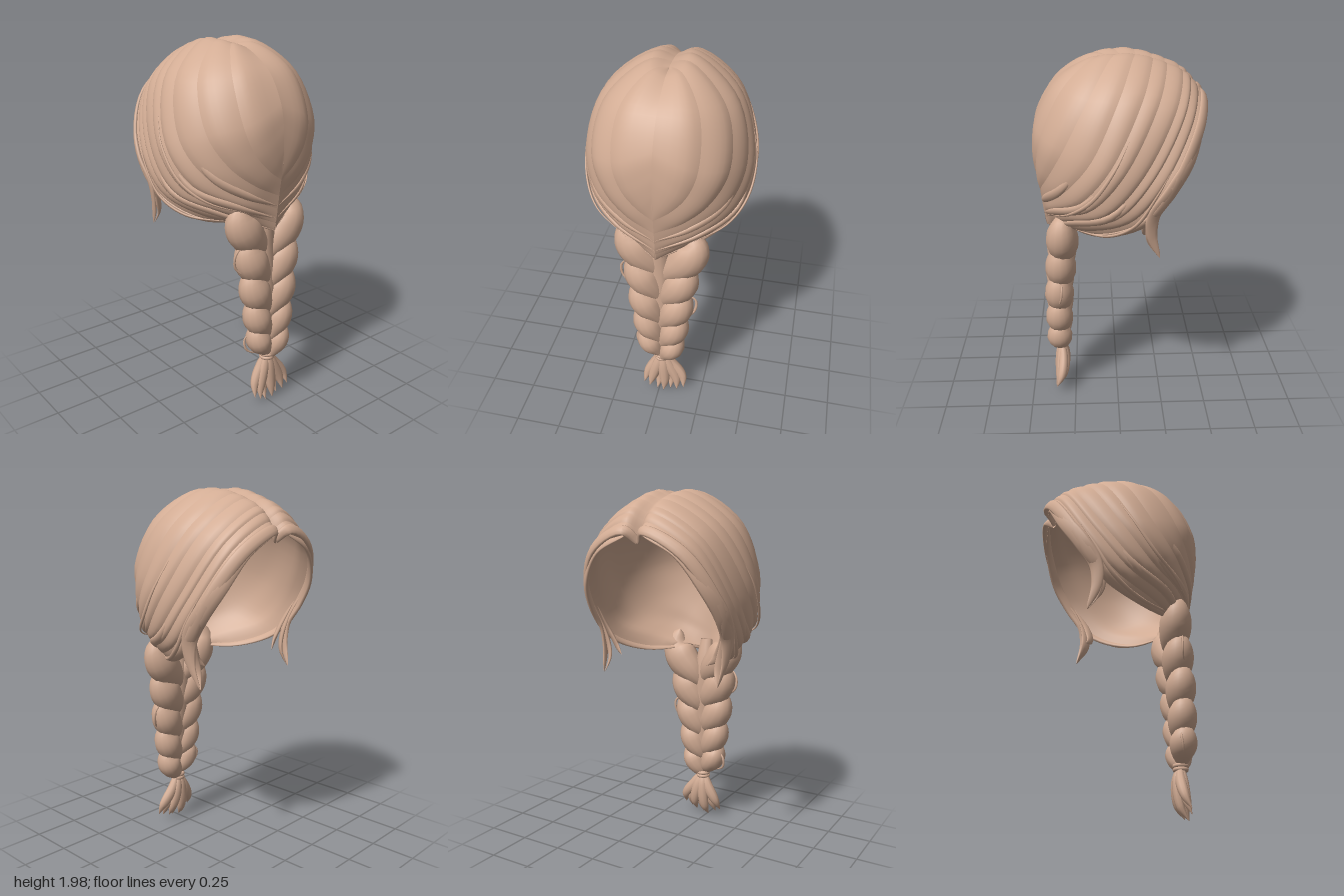
import * as THREE from 'three';

const hair = new THREE.MeshStandardMaterial({ color: 0xd2ac94, side: THREE.DoubleSide });
hair.name = 'light brown hair';

const V = (p, m = 1) => new THREE.Vector3(p[0] * m, p[1], p[2]);
const headCentre = new THREE.Vector3(0, 1.5, 0);
const fromHead = p => p.clone().sub(headCentre).normalize();
const towardBack = () => new THREE.Vector3(0, 0, 1);

// Flow lines of one half of the head: parting -> side -> seam above the braid,
// ordered from the face opening to the middle of the back
const guides = [
  [[0, 1.74, -.385], [.06, 1.795, -.432], [.27, 1.69, -.405], [.4, 1.44, -.285], [.385, 1.21, -.13], [.28, 1.1, .1], [.07, 1.1, .34]],
  [[0, 1.86, -.32], [.07, 1.895, -.345], [.3, 1.755, -.3], [.415, 1.46, -.14], [.4, 1.25, .04], [.265, 1.165, .24], [0, 1.05, .385]],
  [[0, 1.935, -.2], [.08, 1.96, -.2], [.32, 1.81, -.14], [.435, 1.5, .02], [.38, 1.3, .18], [.215, 1.21, .335], [0, 1.12, .4]],
  [[0, 1.965, -.08], [.1, 1.99, -.06], [.33, 1.82, .03], [.4, 1.55, .16], [.33, 1.38, .285], [.175, 1.27, .375], [0, 1.19, .41]],
  [[0, 1.97, 0], [.1, 1.985, .05], [.28, 1.83, .18], [.315, 1.59, .31], [.24, 1.44, .375], [.13, 1.34, .41], [0, 1.27, .42]],
  [[0, 1.97, .05], [.07, 1.97, .13], [.165, 1.85, .29], [.18, 1.63, .4], [.14, 1.5, .425], [.07, 1.41, .433], [0, 1.35, .432]],
  [[0, 1.965, .06], [0, 1.955, .15], [0, 1.86, .32], [0, 1.71, .415], [0, 1.6, .438], [0, 1.5, .443], [0, 1.42, .44]],
];
const clumpEdges = [0, .06, .13, .19, .28, .36, .47, .62, .8, 1];

function makeGeometry(positions, rows, cols, wrap, flip) {
  const index = [];
  for (let i = 0; i < rows - 1; i++) {
    for (let j = 0; j < (wrap ? cols : cols - 1); j++) {
      const k = (j + 1) % cols;
      const a = i * cols + j, b = i * cols + k, c = a + cols, d = b + cols;
      if (flip) index.push(a, c, b, b, c, d);
      else index.push(a, b, c, b, d, c);
    }
  }
  const g = new THREE.BufferGeometry();
  g.setAttribute('position', new THREE.Float32BufferAttribute(positions, 3));
  g.setIndex(index);
  g.computeVertexNormals();
  return g;
}

function add(parent, name, geometry) {
  const mesh = new THREE.Mesh(geometry, hair);
  mesh.name = name;
  parent.add(mesh);
  return mesh;
}

// Tapered lock with an oval section, swept along a smooth curve
function lock(points, width, thick, { mirror = 1, up = fromHead, taper = [0, 1], steps = 18, sides = 10, peak = 1 } = {}) {
  const curve = new THREE.CatmullRomCurve3(points.map(p => V(p, mirror)));
  const pos = [];
  for (let i = 0; i <= steps; i++) {
    const t = i / steps, p = curve.getPoint(t), tan = curve.getTangent(t);
    const side = tan.clone().cross(up(p)).normalize();
    const out = side.clone().cross(tan).normalize();
    const s = Math.pow(Math.max(0, Math.sin(Math.PI * (taper[0] + (taper[1] - taper[0]) * t))), peak) + .004;
    for (let j = 0; j < sides; j++) {
      const a = j / sides * Math.PI * 2;
      const q = p.clone().addScaledVector(side, Math.cos(a) * width * s).addScaledVector(out, Math.sin(a) * thick * s);
      pos.push(q.x, q.y, q.z);
    }
  }
  return makeGeometry(pos, steps + 1, sides, true, false);
}

// Half of the scalp: bulging clumps with sharp valleys, over a smooth lining
function buildScalp(parent, m) {
  const rows = 33;
  const flow = guides.map(g => new THREE.CatmullRomCurve3(g.map(p => V(p, m))));
  const across = Array.from({ length: rows }, (_, i) =>
    new THREE.CatmullRomCurve3(flow.map(c => c.getPoint(i / (rows - 1)))));
  const patch = (name, s0, s1, cols, offset, flip) => {
    const pos = [];
    for (let i = 0; i < rows; i++) {
      for (let j = 0; j < cols; j++) {
        const f = j / (cols - 1), p = across[i].getPoint(s0 + (s1 - s0) * f);
        p.addScaledVector(fromHead(p), offset(f, i / (rows - 1)));
        pos.push(p.x, p.y, p.z);
      }
    }
    add(parent, name, makeGeometry(pos, rows, cols, false, flip));
  };
  for (let c = 0; c < clumpEdges.length - 1; c++) {
    const s0 = clumpEdges[c], s1 = clumpEdges[c + 1];
    // Each clump is fuller toward the face, so it steps over the next one
    patch('scalpClump', s0, s1, 7, (f, t) =>
      (.007 + .02 * (s1 - s0)) * Math.sin(Math.PI * Math.pow(f, .75)) * Math.sin(Math.PI * t), m < 0);
  }
  patch('scalpLining', 0, 1, 30, f => -.03 * Math.min(1, f * 12), m > 0);
}

// Rolled hairline, face-framing locks and loose wisps of one side
function buildFaceLocks(parent, m) {
  const o = { mirror: m };
  const oblique = { ...o, up: () => new THREE.Vector3(m, 0, -1).normalize() };
  add(parent, 'hairlineRoll', lock(guides[0], .034, .014, { ...o, steps: 36, taper: [.12, 1], peak: .6 }));
  add(parent, 'faceLock', lock([[.04, 1.775, -.42], [.24, 1.69, -.405], [.36, 1.53, -.345], [.405, 1.38, -.25], [.395, 1.25, -.17], [.38, 1.13, -.165], [.36, 1, -.21]],
    .045, .016, { ...o, steps: 36, peak: .7 }));
  add(parent, 'faceLock', lock([[.39, 1.42, -.27], [.39, 1.28, -.18], [.365, 1.16, -.155], [.345, 1.08, -.17], [.355, 1.0, -.21]],
    .036, .012, oblique));
  add(parent, 'faceLock', lock([[.38, 1.38, -.23], [.365, 1.24, -.15], [.325, 1.15, -.135], [.27, 1.1, -.16]],
    .034, .012, oblique));
  add(parent, 'sideWisp', lock([[.4, 1.5, -.26], [.42, 1.36, -.18], [.4, 1.2, -.08], [.33, 1.115, .05], [.22, 1.1, .2], [.1, 1.12, .34]],
    .012, .007, { ...o, steps: 28 }));
  add(parent, 'sideWisp', lock([[.41, 1.65, -.05], [.447, 1.5, .03], [.425, 1.34, .14], [.34, 1.24, .26], [.15, 1.17, .38]],
    .01, .006, { ...o, steps: 24 }));
  // Raised strands sweeping to the braid root
  for (const g of guides.slice(1, 4)) {
    add(parent, 'sweptStrand', lock(g.slice(3), .026, .016, o));
  }
}

// Two columns of plump lobes that meet in a chevron, narrowing downward
function buildBraid(parent) {
  const lobes = [
    { y: 1.03, x: .155, w: .1, h: .175, z: .3, d: .088 },
    { y: .85, x: .115, w: .094, h: .16, z: .315, d: .086 },
    { y: .68, x: .098, w: .088, h: .15, z: .328, d: .082 },
    { y: .52, x: .084, w: .078, h: .14, z: .333, d: .078 },
    { y: .385, x: .072, w: .068, h: .11, z: .336, d: .073 },
  ];
  for (const m of [1, -1]) {
    for (const { y, x, w, h, z, d } of lobes) {
      const yy = y + (m > 0 ? -.012 : .018);
      const path = [[x * .95, yy + h, z - .01], [x * 1.12, yy + h * .5, z], [x * .9, yy, z], [x * .4, yy - h * .5, z], [-.015, yy - h, z + .01]];
      add(parent, 'braidLobe', lock(path, w, d, { mirror: m, up: towardBack, sides: 14, peak: .8 })).position.x = .012;
    }
  }
  add(parent, 'braidCore', lock([[0, 1.14, .33], [0, .95, .31], [.01, .6, .325], [.015, .26, .33]], .06, .045,
    { up: towardBack, taper: [.2, .9], steps: 20 }));
  // Loose loops at the sides of the braid
  [[[-.15, 1.0, .33], [-.205, .93, .32], [-.2, .86, .32], [-.12, .8, .35]],
   [[.13, .78, .32], [.2, .74, .31], [.195, .66, .32], [.12, .6, .35]],
   [[-.09, .46, .32], [-.13, .42, .31], [-.125, .36, .32], [-.06, .32, .34]]].forEach(p =>
    add(parent, 'braidWisp', lock(p, .008, .006, { up: towardBack, sides: 6 })));
}

function buildTail(parent) {
  for (const y of [.298, .278]) {
    const ring = add(parent, 'hairTie', new THREE.TorusGeometry(.031, .012, 8, 24));
    ring.rotation.x = Math.PI / 2;
    ring.position.set(.015, y, .33);
  }
  // Fanned strands below the tie: tip x, tip y, depth offset
  const tips = [[-.09, .055, 0], [-.055, .035, .015], [-.01, .012, -.01], [.03, .018, .02],
    [.07, .03, -.01], [.11, .04, .012], [.15, .06, 0]];
  for (const [x, y, dz] of tips) {
    add(parent, 'tailStrand', lock(
      [[.015, .31, .33], [.02 + (x - .02) * .35, .22, .32 + dz], [.025 + (x - .02) * .85, y + .07, .33 + dz], [x, y, .36 + dz * .4]],
      .034, .028, { up: towardBack, taper: [.12, 1] }));
  }
}

export function createModel() {
  const model = new THREE.Group();
  model.name = 'braidedHair';
  const part = (name, build, ...args) => {
    const g = new THREE.Group();
    g.name = name;
    build(g, ...args);
    model.add(g);
  };
  part('leftScalp', buildScalp, 1);
  part('rightScalp', buildScalp, -1);
  part('leftFaceLocks', buildFaceLocks, 1);
  part('rightFaceLocks', buildFaceLocks, -1);
  part('braid', buildBraid);
  part('tail', buildTail);
  return model;
}
